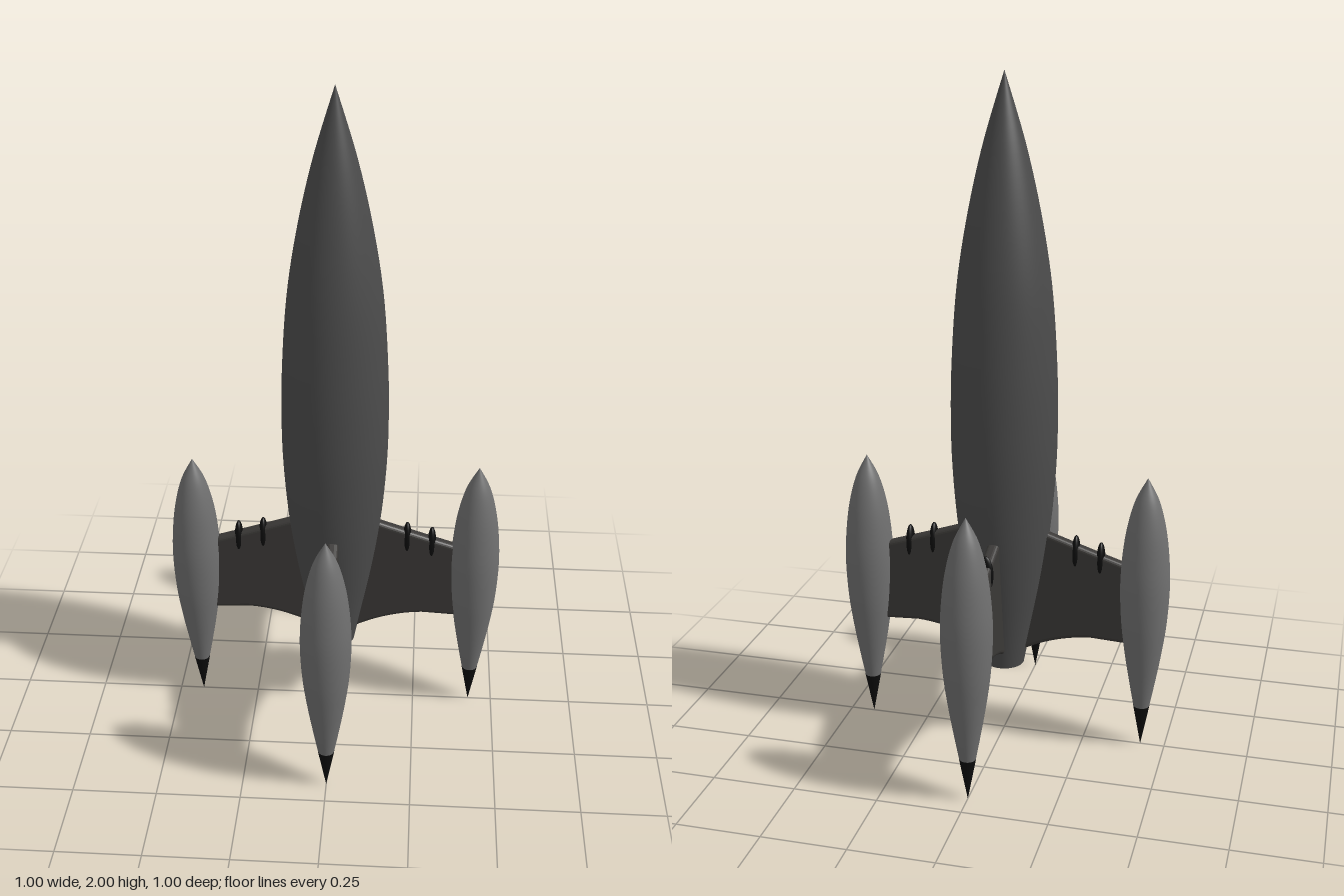
import * as THREE from 'three';

const mat = (color) => new THREE.MeshStandardMaterial({ color });

function add(parent, name, geometry, material, x = 0, y = 0, z = 0) {
  const mesh = new THREE.Mesh(geometry, material);
  mesh.name = name;
  mesh.position.set(x, y, z);
  parent.add(mesh);
  return mesh;
}

// Smooth lathe through [radius, y] points, listed bottom to top
function smoothLathe(points, divisions = 48, segments = 48) {
  const curve = new THREE.SplineCurve(points.map(([r, y]) => new THREE.Vector2(r, y)));
  const profile = curve.getPoints(divisions);
  profile.forEach((p) => { p.x = Math.max(p.x, 0); });
  return new THREE.LatheGeometry(profile, segments);
}

// Fin plate in the x-y plane, with rounded edges
function finGeometry() {
  const bevel = 0.012;
  const shape = new THREE.Shape();
  shape.moveTo(0.04, 0.28);
  shape.quadraticCurveTo(0.15, 0.345, 0.27, 0.352);
  shape.lineTo(0.40, 0.345);
  shape.lineTo(0.40, 0.565);
  shape.quadraticCurveTo(0.24, 0.615, 0.11, 0.66);
  shape.lineTo(0.04, 0.66);
  shape.closePath();
  const geometry = new THREE.ExtrudeGeometry(shape, {
    depth: 0.012, bevelEnabled: true, bevelSize: bevel, bevelThickness: bevel,
    bevelSegments: 4, curveSegments: 16,
  });
  return geometry.translate(0, 0, -0.006);
}

export function createModel() {
  const model = new THREE.Group();
  model.name = 'rocket';
  const hullGrey = mat(0x4c4c4c);
  const podGrey = mat(0x707070);
  const finGrey = mat(0x3a3836);
  const black = mat(0x0c0c0c);

  // Hull
  add(model, 'hull', smoothLathe([
    [0.06, 0.23], [0.085, 0.36], [0.115, 0.52], [0.138, 0.68], [0.152, 0.85], [0.156, 1.0],
    [0.152, 1.18], [0.136, 1.4], [0.105, 1.6], [0.06, 1.8], [0, 2],
  ], 64, 64), hullGrey);

  // Exhaust: rim, inner wall and recessed end
  const exhaust = [[0, 0.255], [0.046, 0.255], [0.046, 0.255], [0.05, 0.23], [0.05, 0.23], [0.06, 0.23]];
  add(model, 'exhaust', new THREE.LatheGeometry(
    exhaust.map(([r, y]) => new THREE.Vector2(r, y)), 48), hullGrey);

  // Shared shapes for the four arms
  const fin = finGeometry();
  const pod = smoothLathe([
    [0.024, 0.13], [0.037, 0.2], [0.054, 0.3], [0.067, 0.4], [0.073, 0.51],
    [0.070, 0.6], [0.058, 0.7], [0.035, 0.79], [0, 0.86],
  ]);
  const tip = new THREE.ConeGeometry(0.0245, 0.13, 48).rotateX(Math.PI);
  const bead = new THREE.SphereGeometry(1, 24, 16).scale(0.013, 0.057, 0.023);

  // Fin, pod, tip and beads, repeated around the hull
  for (let i = 0; i < 4; i++) {
    const arm = new THREE.Group();
    arm.name = 'finArm' + (i + 1);
    arm.rotation.y = (i * Math.PI) / 2;
    add(arm, 'fin', fin, finGrey);
    add(arm, 'pod', pod, podGrey, 0.427);
    add(arm, 'podTip', tip, black, 0.427, 0.065);
    add(arm, 'innerBead', bead, black, 0.219, 0.605);
    add(arm, 'outerBead', bead, black, 0.294, 0.59);
    model.add(arm);
  }
  return model;
}
